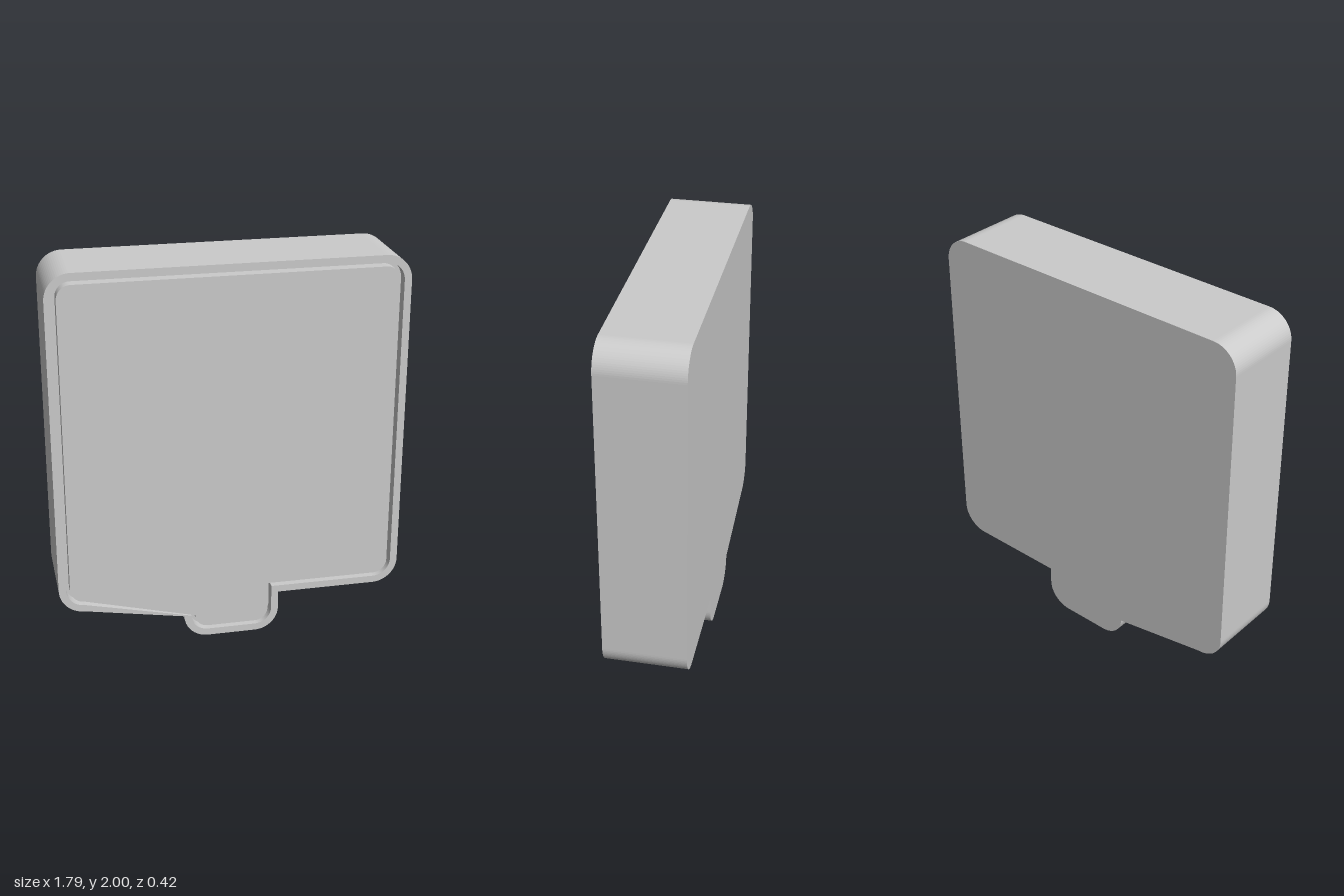
import * as THREE from 'three';

const DEPTH = 0.42, GROOVE = 0.06;
const material = new THREE.MeshStandardMaterial({ color: 0xcccccc });

// Rounded square with a rounded tab below, shrunk evenly by inset
function outline(inset, PathType = THREE.Shape) {
  const half = 0.893 - inset, top = 2 - inset, bottom = 0.215 + inset;
  const tab = 0.25 - inset, r = 0.13 - inset, tabR = 0.125 - inset;
  const q = Math.PI / 2;
  const path = new PathType();
  path.moveTo(-tab, bottom);
  path.absarc(-tab + tabR, inset + tabR, tabR, 2 * q, 3 * q);
  path.absarc(tab - tabR, inset + tabR, tabR, 3 * q, 4 * q);
  path.lineTo(tab, bottom);
  path.absarc(half - r, bottom + r, r, 3 * q, 4 * q);
  path.absarc(half - r, top - r, r, 0, q);
  path.absarc(-half + r, top - r, r, q, 2 * q);
  path.absarc(-half + r, bottom + r, r, 2 * q, 3 * q);
  path.closePath();
  return path;
}

function slab(name, shape, z, depth) {
  const geometry = new THREE.ExtrudeGeometry(shape, { depth, bevelEnabled: false, curveSegments: 10 });
  const mesh = new THREE.Mesh(geometry, material);
  mesh.name = name;
  mesh.position.z = z;
  return mesh;
}

export function createModel() {
  const group = new THREE.Group();
  group.name = 'tabbedCase';
  const grooveFloor = DEPTH / 2 - GROOVE;

  // Solid body up to the floor of the groove
  group.add(slab('body', outline(0), -DEPTH / 2, DEPTH - GROOVE));

  // Raised rim around the front
  const rim = outline(0);
  rim.holes.push(outline(0.037, THREE.Path));
  group.add(slab('rim', rim, grooveFloor, GROOVE));

  // Front panel, flush with the rim and set off by the groove
  group.add(slab('frontPanel', outline(0.057), grooveFloor, GROOVE));
  return group;
}
